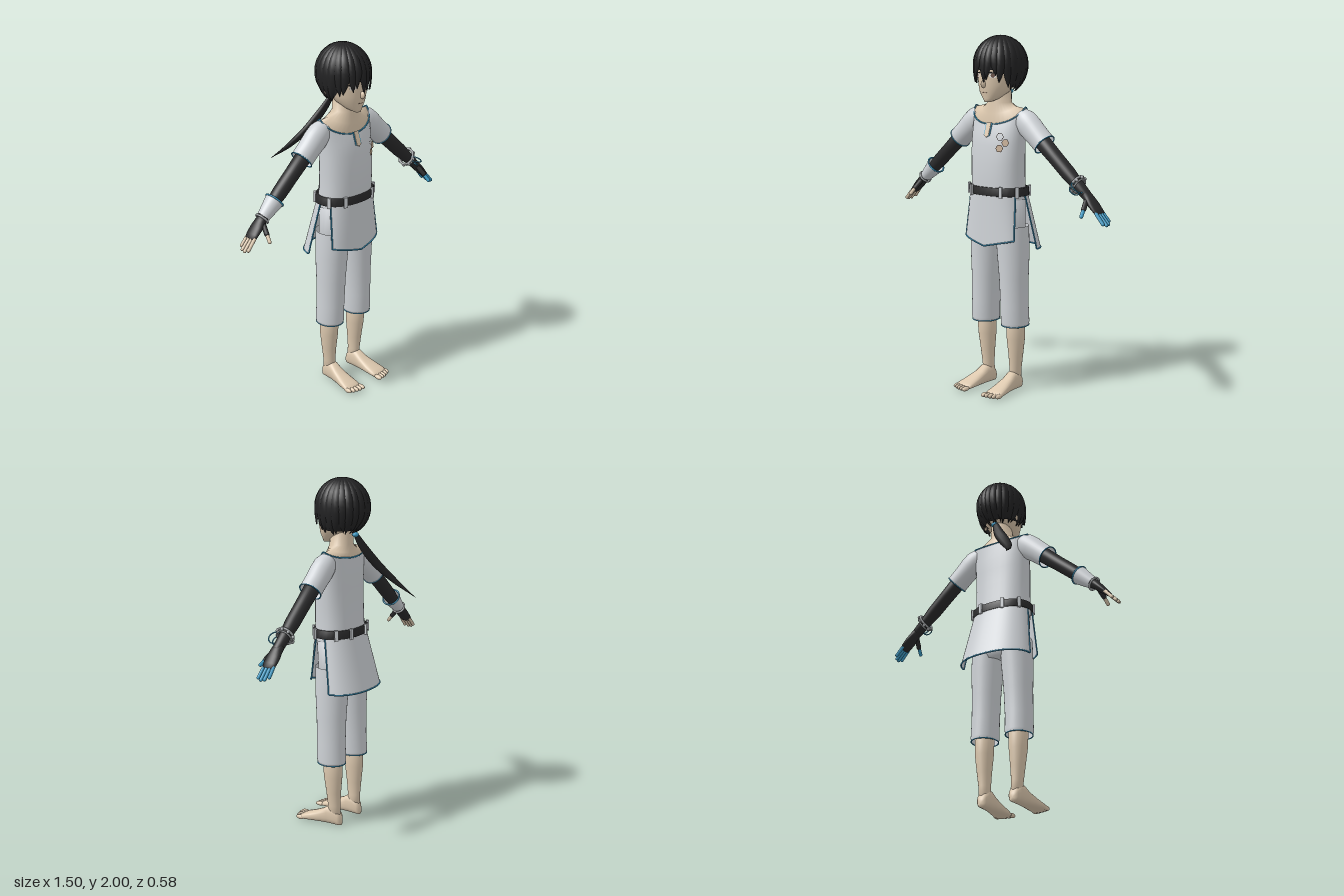
import * as THREE from 'three';

const V = (x, y, z) => new THREE.Vector3(x, y, z);
const lerp = THREE.MathUtils.lerp;
const mat = (name, color, side = THREE.DoubleSide) => {
  const m = new THREE.MeshStandardMaterial({ color, side });
  m.name = name;
  return m;
};

export function createModel() {
  const root = new THREE.Group();
  const cloth = mat('cloth', 0xcfd3d7), skin = mat('skin', 0xdcc8ae), hair = mat('hair', 0x222223);
  const glove = mat('glove', 0x2a2a2b), blue = mat('blueTrim', 0x3c9ac4), metal = mat('metal', 0xa3a6a8);
  const tan = mat('emblemTan', 0xcbb299), brown = mat('brown', 0x6a5146), white = mat('eyeWhite', 0xe8e6e2);

  const add = (name, geo, m, parent = root) => {
    const mesh = new THREE.Mesh(geo, m);
    mesh.name = name;
    parent.add(mesh);
    return mesh;
  };
  // Surface through rows of points; closed rows wrap round, capped ends are fanned
  const surface = (rows, closed, cap) => {
    const n = rows[0].length, pos = rows.flat().flatMap(p => [p.x, p.y, p.z]), idx = [];
    for (let i = 0; i < rows.length - 1; i++)
      for (let j = 0; j < (closed ? n : n - 1); j++) {
        const a = i * n + j, b = i * n + (j + 1) % n;
        idx.push(a, a + n, b, b, a + n, b + n);
      }
    if (cap) [0, rows.length - 1].forEach((r, e) => {
      const c = rows[r].reduce((s, p) => s.add(p), V(0, 0, 0)).divideScalar(n), k = pos.length / 3;
      pos.push(c.x, c.y, c.z);
      for (let j = 0; j < n; j++) {
        const a = r * n + j, b = r * n + (j + 1) % n;
        idx.push(k, ...(e ? [b, a] : [a, b]));
      }
    });
    const g = new THREE.BufferGeometry();
    g.setAttribute('position', new THREE.Float32BufferAttribute(pos, 3));
    g.setIndex(idx);
    g.computeVertexNormals();
    return g;
  };
  const pw = (v, e) => Math.sign(v) * Math.abs(v) ** e;
  // Oval ring: height, half width, half depth, centre x, centre z
  const ring = ([y, rx, rz, cx = 0, cz = 0], e = 1, n = 32) => Array.from({ length: n }, (_, j) => {
    const a = j / n * Math.PI * 2;
    return V(cx + rx * pw(Math.cos(a), e), y, cz + rz * pw(Math.sin(a), e));
  });
  const loft = (rings, cap = true, e = 1, n = 32) => surface(rings.map(r => ring(r, e, n)), true, cap);
  const tube = (pts, r, closed = false) =>
    new THREE.TubeGeometry(new THREE.CatmullRomCurve3(pts, closed), pts.length * 3, r, 6, closed);
  const limb = (name, a, b, r, m, parent) => {
    const mesh = add(name, new THREE.CapsuleGeometry(r, a.distanceTo(b), 5, 10), m, parent);
    mesh.position.copy(a).lerp(b, 0.5);
    mesh.quaternion.setFromUnitVectors(V(0, 1, 0), b.clone().sub(a).normalize());
  };
  const ball = (name, p, s, m, parent) => {
    const mesh = add(name, new THREE.SphereGeometry(1, 16, 10), m, parent);
    mesh.position.copy(p);
    mesh.scale.copy(s);
    return mesh;
  };

  // Shirt with a curved neckline
  const neckline = (k = 1, drop = 0) => Array.from({ length: 32 }, (_, j) => {
    const a = j / 32 * Math.PI * 2, s = Math.sin(a);
    return V(0.182 * k * Math.cos(a), 1.611 - drop - (s > 0 ? 0.096 : 0.045) * Math.abs(s), 0.045 + (s > 0 ? 0.09 : 0.08) * k * s);
  });
  const shirt = [[1.1, 0.17, 0.115, 0, 0.057], [1.2, 0.165, 0.114, 0, 0.062], [1.3, 0.167, 0.11, 0, 0.064],
    [1.4, 0.17, 0.104, 0, 0.062], [1.47, 0.173, 0.097, 0, 0.055]].map(r => ring(r, 0.87));
  add('shirt', surface([...shirt, neckline()], true), cloth);
  add('necklineTrim', tube(neckline(), 0.004, true), blue);
  const slit = new THREE.Shape([[-0.018, 0.035], [-0.018, -0.035], [0, -0.045], [0.018, -0.035], [0.018, 0.035]].map(p => new THREE.Vector2(...p)));
  [['slitTrim', blue, 1.2, 0.145], ['slit', skin, 0.85, 0.148]].forEach(([name, m, s, z]) => {
    const p = add(name, new THREE.ExtrudeGeometry(slit, { depth: 0.004, bevelEnabled: false }), m);
    p.position.set(0, 1.488, z);
    p.rotation.x = -0.32;
    p.scale.set(s, s === 1.2 ? 1.03 : 1.05, 1);
  });

  // Chest emblem
  const emblem = new THREE.Group();
  emblem.name = 'emblem';
  emblem.position.set(0.106, 1.415, 0.153);
  emblem.rotation.set(-0.1, 0.42, 0);
  root.add(emblem);
  [[0.02, 0.005, tan], [-0.012, -0.028, tan], [-0.012, 0.036, metal]].forEach(([x, y, m], i) => {
    const edge = add('hexagonEdge', new THREE.RingGeometry(0.019, 0.022, 6), brown, emblem);
    edge.position.set(x, y, 0.002 + i * 0.001);
    if (i < 2) add('hexagon', new THREE.CircleGeometry(0.02, 6), m, emblem).position.set(x, y, 0.001 + i * 0.001);
  });

  // Neck and shoulders
  const base = neckline(0.98, 0.006), neck = ring([1.632, 0.068, 0.066, 0, 0.05]);
  add('neck', surface([neckline(0.95, 0.05), base, base.map((p, j) => p.clone().lerp(neck[j], 0.55).add(V(0, -0.006, 0))),
    neck, ring([1.74, 0.058, 0.06, 0, 0.045])], true), skin);

  // Head and face
  add('head', loft([[1.638, 0.02, 0.018, 0, 0.148], [1.655, 0.045, 0.045, 0, 0.122], [1.69, 0.08, 0.08, 0, 0.095],
    [1.73, 0.1, 0.11, 0, 0.07], [1.79, 0.115, 0.135, 0, 0.047], [1.86, 0.118, 0.14, 0, 0.04], [1.92, 0.09, 0.11, 0, 0.04],
    [1.96, 0.04, 0.05, 0, 0.04]]), skin);
  ball('nose', V(0, 1.735, 0.183), V(0.011, 0.02, 0.02), skin);
  add('mouth', new THREE.BoxGeometry(0.032, 0.003, 0.004), brown).position.set(0, 1.689, 0.174);
  for (const s of [-1, 1]) {
    ball('ear', V(s * 0.112, 1.755, 0.035), V(0.012, 0.033, 0.022), skin);
    const eye = new THREE.Group();
    eye.name = 'eye';
    eye.position.set(s * 0.055, 1.782, 0.168);
    eye.rotation.y = s * 0.42;
    root.add(eye);
    add('eyeWhite', new THREE.CircleGeometry(0.022, 16), white, eye).scale.y = 0.65;
    add('iris', new THREE.CircleGeometry(0.012, 16), brown, eye).position.z = 0.002;
    add('lash', new THREE.BoxGeometry(0.05, 0.006, 0.004), hair, eye).position.set(0, 0.015, 0.002);
  }

  // Hair: an under-cap and overlapping locks running from the crown
  const hairPoint = (a, phi, k) => {
    const f = Math.sin(a), e = phi < Math.PI / 2 ? 1 : f < 0 ? lerp(0.4, 1, -f) : lerp(0.4, 0.25, f);
    const s = k * Math.max(Math.sin(phi), 0) ** e;
    return V(0.143 * s * Math.cos(a), 1.84 + 0.16 * Math.cos(phi) * (0.9 + 0.1 * k), 0.042 + 0.16 * s * f);
  };
  const reach = a => lerp(2.55, 1.8, THREE.MathUtils.smoothstep(Math.sin(a), 0.2, 0.75));
  add('hairCap', surface(Array.from({ length: 15 }, (_, i) => Array.from({ length: 40 }, (_, j) => {
    const a = j / 40 * Math.PI * 2;
    return hairPoint(a, i / 14 * reach(a) * 0.97, 0.95);
  })), true), hair);
  for (let i = 0; i < 24; i++) {
    const a0 = i / 24 * Math.PI * 2, end = reach(a0) + [0.32, 0.12, 0.24][i % 3] * (Math.sin(a0) > 0.3 ? 1.3 : 0.5);
    add('hairLock', surface(Array.from({ length: 15 }, (_, r) => {
      const t = r / 14, w = 0.19 * (t < 0.7 ? 1 : 1 - ((t - 0.7) / 0.3) ** 1.5);
      return [-1, -0.5, 0, 0.5, 1].map(u => hairPoint(a0 + u * w + (t > 0.7 ? (t - 0.7) * (i % 2 ? 0.25 : -0.2) : 0),
        t * end, 1.01 + (i % 2) * 0.012 - 0.06 * u * u));
    })), hair);
  }

  // Ponytail and its tie
  const tail = new THREE.CatmullRomCurve3([V(0, 1.71, -0.03), V(-0.05, 1.61, -0.068), V(-0.12, 1.51, -0.115),
    V(-0.195, 1.41, -0.19), V(-0.242, 1.325, -0.288)]);
  add('ponytail', surface(Array.from({ length: 21 }, (_, i) => {
    const t = i / 20, p = tail.getPoint(t), d = tail.getTangent(t), r = (0.012 + 0.02 * Math.sin(Math.PI * t ** 0.8)) * (1 - t ** 6) + 0.0005;
    const side = V(1, 0, 0).addScaledVector(d, -d.x).normalize(), up = side.clone().cross(d);
    return Array.from({ length: 10 }, (_, j) => {
      const a = j / 10 * Math.PI * 2;
      return p.clone().addScaledVector(side, r * Math.cos(a)).addScaledVector(up, 0.6 * r * Math.sin(a));
    });
  }), true, true), hair);
  ball('hairTie', V(-0.004, 1.69, -0.04), V(0.02, 0.014, 0.018), blue);

  // Belt with loops
  add('belt', loft([[1.122, 0.183, 0.123, 0, 0.056], [1.124, 0.188, 0.127, 0, 0.056], [1.168, 0.186, 0.126, 0, 0.057],
    [1.17, 0.172, 0.115, 0, 0.057]], false, 0.9), glove);
  for (const deg of [22, 58, 122, 158, 215, 250, 290, 325]) {
    const a = deg * Math.PI / 180, c = Math.cos(a), s = Math.sin(a);
    const b = add('beltLoop', new THREE.BoxGeometry(0.02, 0.06, 0.014), cloth);
    b.position.set(0.19 * pw(c, 0.9), 1.146, 0.056 + 0.128 * pw(s, 0.9));
    b.rotation.y = Math.atan2(c / 0.19, s / 0.128);
  }

  // Front and back tunic flaps, edged in blue
  const flap = (name, from, to, top, low, hem) => {
    const rows = Array.from({ length: 9 }, (_, i) => Array.from({ length: 25 }, (_, j) => {
      const t = i / 8, a = lerp(from, to, j / 24) * Math.PI / 180;
      const [rx, rz, cz] = top.map((v, k) => lerp(v, low[k], t));
      const x = rx * pw(Math.cos(a), 0.87);
      return V(x, lerp(1.13, hem(Math.abs(x)), t), cz + rz * pw(Math.sin(a), 0.87));
    }));
    add(name, surface(rows, false), cloth);
    add(name + 'Trim', tube([...rows.map(r => r[0]), ...rows[8].slice(1, 24), ...rows.map(r => r[24]).reverse()], 0.0045), blue);
  };
  flap('frontFlap', 22, 158, [0.178, 0.12, 0.057], [0.192, 0.085, 0.1], x => 0.84 + 0.04 * x / 0.18);
  flap('backFlap', -5, -175, [0.178, 0.12, 0.057], [0.221, 0.15, 0.006], () => 0.822);

  // Trousers, legs and feet
  add('hips', loft([[0.85, 0.1, 0.08, 0, 0.05], [0.9, 0.165, 0.1, 0, 0.05], [1.12, 0.165, 0.108, 0, 0.057]], true, 0.87), cloth);
  for (const s of [-1, 1]) {
    const leg = new THREE.Group();
    leg.name = s > 0 ? 'leftLeg' : 'rightLeg';
    root.add(leg);
    add('trouserLeg', loft([[0.38, 0.073, 0.082, s * 0.111, 0.045], [0.4, 0.077, 0.086, s * 0.111, 0.046], [0.5, 0.076, 0.084, s * 0.109, 0.049],
      [0.65, 0.08, 0.087, s * 0.105, 0.05], [0.8, 0.089, 0.095, s * 0.1, 0.05], [0.95, 0.09, 0.1, s * 0.092, 0.05]], false), cloth);
    add('trouserHem', tube(ring([0.381, 0.073, 0.082, s * 0.111, 0.045]), 0.0035, true), blue);
    add('shin', loft([[0.05, 0.032, 0.036, s * 0.1, 0.032], [0.12, 0.032, 0.038, s * 0.104, 0.034], [0.2, 0.04, 0.044, s * 0.107, 0.035],
      [0.3, 0.05, 0.055, s * 0.109, 0.037], [0.45, 0.054, 0.06, s * 0.11, 0.042]]), skin, leg);
    // Foot rings run heel to toe: z, half width, height, centre x
    const foot = [[-0.012, 0.016, 0.045, 0.1], [0, 0.03, 0.075, 0.1], [0.03, 0.036, 0.11, 0.101], [0.07, 0.037, 0.108, 0.103],
      [0.11, 0.04, 0.082, 0.106], [0.17, 0.049, 0.056, 0.111], [0.22, 0.054, 0.038, 0.115], [0.25, 0.05, 0.024, 0.115]];
    add('foot', surface(foot.map(([z, w, h, cx]) => ring([0, w, h / 2], 0.8, 24).map(p => V(s * cx - p.x, h / 2 + p.z, z))), true, true), skin, leg);
    for (let i = 0; i < 5; i++)
      ball('toe', V(s * (0.074 + i * 0.0215), 0.014, 0.262 - i * i * 0.0014), V(i ? 0.011 : 0.015, 0.013, 0.028), skin, leg);
  }

  // Arms hang down their own -y axis, then swing outward
  for (const s of [-1, 1]) {
    const arm = new THREE.Group();
    arm.name = s > 0 ? 'leftArm' : 'rightArm';
    arm.position.set(s * 0.16, 1.55, 0.04);
    arm.rotation.z = s * 0.855;
    root.add(arm);
    const tip = s > 0 ? blue : skin;
    add('sleeve', loft([[-0.205, 0.063, 0.062], [-0.14, 0.064, 0.061], [-0.07, 0.07, 0.062], [-0.02, 0.068, 0.06], [0.02, 0.05, 0.045]], false), cloth, arm);
    add('sleeveTrim', tube(ring([-0.205, 0.063, 0.062]), 0.0035, true), blue, arm);
    add('armCover', loft([[-0.6, 0.026, 0.03], [-0.5, 0.033, 0.035], [-0.42, 0.04, 0.042], [-0.3, 0.041, 0.043], [-0.15, 0.046, 0.046]]), glove, arm);
    add('hand', loft([[-0.715, 0.012, 0.036, -s * 0.008], [-0.69, 0.016, 0.041, -s * 0.006], [-0.65, 0.021, 0.042, -s * 0.003],
      [-0.61, 0.024, 0.035], [-0.57, 0.027, 0.03]]), glove, arm);
    for (let i = 0; i < 4; i++) {
      const z = 0.029 - i * 0.0195, len = [0.775, 0.785, 0.78, 0.762][i];
      limb('finger', V(-s * 0.008, -0.7, z), V(-s * 0.016, -len, z * 1.1), 0.0095, tip, arm);
    }
    limb('thumbBase', V(-s * 0.008, -0.615, 0.025), V(-s * 0.03, -0.65, 0.062), 0.014, glove, arm);
    limb('thumb', V(-s * 0.03, -0.65, 0.062), V(-s * 0.05, -0.678, 0.092), 0.0105, tip, arm);
    const hoop = (name, r, t, y, m) => {
      const h = add(name, new THREE.TorusGeometry(r, t, 8, 28), m, arm);
      h.position.y = y;
      h.rotation.x = Math.PI / 2;
      return h;
    };
    if (s < 0) {
      // Flared wrist guard
      add('wristGuard', loft([[-0.58, 0.034, 0.036], [-0.565, 0.036, 0.038], [-0.47, 0.052, 0.052]], false), cloth, arm);
      hoop('wristGuardTrim', 0.052, 0.005, -0.47, blue);
      hoop('wristBand', 0.036, 0.006, -0.59, metal);
    } else {
      // Bracelet with hanging blue cords
      hoop('bracelet', 0.047, 0.007, -0.5, metal).rotation.y = 0.2;
      hoop('braceletRim', 0.045, 0.005, -0.518, metal).rotation.y = 0.2;
      for (let i = 0; i < 8; i++) {
        const a = i * Math.PI / 4;
        ball('bead', V(0.05 * Math.cos(a), -0.508 + 0.009 * Math.cos(a), 0.05 * Math.sin(a)), V(0.009, 0.011, 0.009), metal, arm);
      }
      for (const [x, r] of [[0.01, 0.036], [-0.012, 0.028]]) {
        const cord = add('cord', new THREE.TorusGeometry(r, 0.0035, 6, 24), blue, arm);
        cord.position.set(x, -0.535, 0.045);
        cord.rotation.y = Math.PI / 2 + x * 15;
      }
    }
  }
  return root;
}
